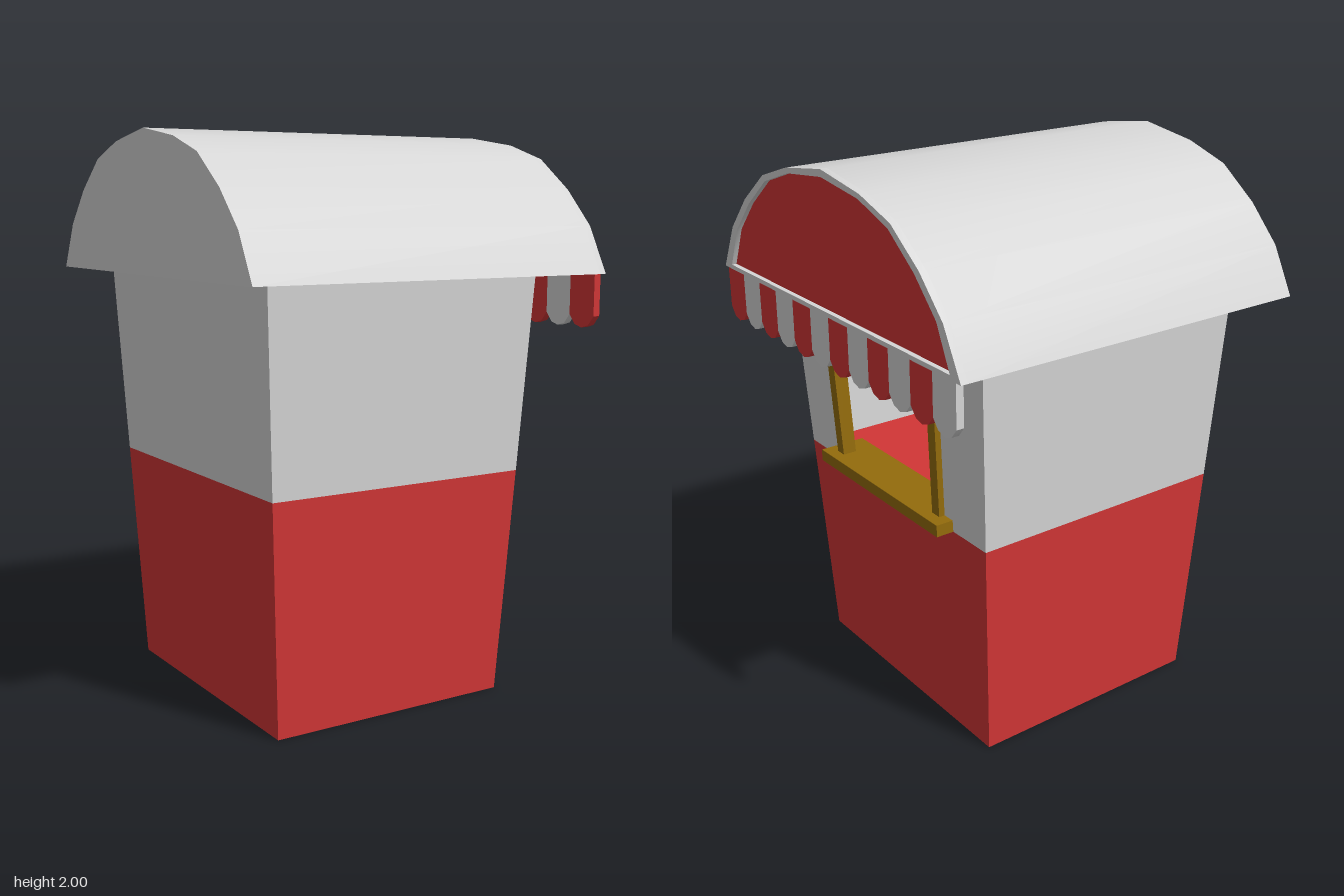
import * as THREE from 'three';
import { toCreasedNormals } from 'three/addons/utils/BufferGeometryUtils.js';

const material = (name, color) => Object.assign(new THREE.MeshStandardMaterial({ color }), { name });

// Solid between a lower and an upper rectangle, each [x0, x1, z0, z1]
function taperedBlock(y0, lower, y1, upper) {
  const geometry = new THREE.BoxGeometry(1, 1, 1);
  const p = geometry.attributes.position;
  for (let i = 0; i < p.count; i++) {
    const high = p.getY(i) > 0;
    const r = high ? upper : lower;
    p.setXYZ(i, p.getX(i) > 0 ? r[1] : r[0], high ? y1 : y0, p.getZ(i) > 0 ? r[3] : r[2]);
  }
  geometry.computeVertexNormals();
  return geometry;
}

// Block whose rectangle is a function of height, so it follows the leaning walls
const leaning = (y0, y1, rect) => taperedBlock(y0, rect(y0), y1, rect(y1));

// Shape drawn in (z, y), extruded along x
function extrudeX(shape, x0, x1) {
  const geometry = new THREE.ExtrudeGeometry(shape, { depth: x1 - x0, bevelEnabled: false });
  geometry.rotateY(Math.PI / 2).translate(x0, 0, 0);
  return toCreasedNormals(geometry, 0.65);
}

// Mirror half an arch (from the eave to the ridge) into a closed outline
function archPoints(half) {
  const other = half.slice(0, -1).reverse().map(([z, y]) => [-z, y]);
  return [...half, ...other].map(([z, y]) => new THREE.Vector2(z, y));
}

export function createModel() {
  const model = new THREE.Group();
  model.name = 'marketKiosk';
  const white = material('white', 0xd6d6d6);
  const red = material('red', 0xd23636);
  const wood = material('wood', 0x946c0c);

  const add = (name, geometry, mat, parent = model) => {
    const mesh = new THREE.Mesh(geometry, mat);
    mesh.name = name;
    parent.add(mesh);
    return mesh;
  };
  const group = (name) => {
    const g = new THREE.Group();
    g.name = name;
    model.add(g);
    return g;
  };

  // Outer faces of the body at a given height
  const back = (y) => -0.485 - 0.05 * y;
  const front = (y) => 0.425 + 0.053 * y;
  const side = (y) => 0.52 + 0.053 * y;
  const opening = (y) => 0.268 + 0.027 * y;
  const counterY = 0.815, eaveY = 1.512, lintelY = 1.38, t = 0.02;

  // Red base, closed on top
  add('base', leaning(0, counterY, (y) => [back(y), front(y), -side(y), side(y)]), red);

  // White walls around the serving space
  const walls = group('walls');
  add('rearWall', leaning(counterY, eaveY, (y) => [back(y), back(y) + t, -side(y), side(y)]), white, walls);
  for (const s of [-1, 1]) {
    const span = (a, b) => (s > 0 ? [a, b] : [-b, -a]);
    add('sideWall', leaning(counterY, eaveY, (y) =>
      [back(y) + t, front(y) - t, ...span(side(y) - t, side(y))]), white, walls);
    add('servingWallSide', leaning(counterY, eaveY, (y) =>
      [front(y) - t, front(y), ...span(opening(y) + 0.01, side(y))]), white, walls);
  }
  add('servingWallTop', leaning(lintelY + 0.01, eaveY, (y) =>
    [front(y) - t, front(y), -opening(y) - 0.01, opening(y) + 0.01]), white, walls);

  // Wooden window frame and sill
  const frame = group('windowFrame');
  add('sill', taperedBlock(counterY, [0.36, 0.535, -0.38, 0.38], 0.858, [0.36, 0.535, -0.38, 0.38]), wood, frame);
  for (const s of [-1, 1]) {
    add('framePost', leaning(0.858, 1.42, (y) => {
      const a = opening(y), b = a + 0.042;
      return [front(y) - 0.03, front(y) + 0.022, ...(s > 0 ? [a, b] : [-b, -a])];
    }), wood, frame);
  }
  add('frameTop', leaning(lintelY, 1.42, (y) =>
    [front(y) - 0.03, front(y) + 0.022, -opening(y), opening(y)]), wood, frame);

  // Arched roof with a raised rim around the red gable
  const outer = archPoints([[0.75, eaveY], [0.665, 1.675], [0.547, 1.8], [0.4, 1.91], [0.23, 1.965], [0, 2]]);
  const inner = archPoints([[0.695, 1.528], [0.63, 1.672], [0.52, 1.788], [0.385, 1.892], [0.22, 1.948], [0, 1.975]]);
  const roof = group('roof');
  add('roofShell', extrudeX(new THREE.Shape(outer), -0.693, 0.665), white, roof);
  const rim = new THREE.Shape(outer);
  rim.holes.push(new THREE.Path(inner));
  add('gableRim', extrudeX(rim, 0.665, 0.69), white, roof);
  add('gablePanel', extrudeX(new THREE.Shape(inner), 0.665, 0.672), red, roof);

  // Scalloped valance of alternating stripes
  const valance = group('valance');
  const count = 12, w = 0.1208;
  const tab = new THREE.Shape([
    [-w / 2, eaveY], [-w / 2, 1.365], [-0.034, 1.332], [0, 1.322],
    [0.034, 1.332], [w / 2, 1.365], [w / 2, eaveY],
  ].map(([z, y]) => new THREE.Vector2(z, y)));
  const tabGeometry = extrudeX(tab, 0.663, 0.69);
  for (let i = 0; i < count; i++) {
    add('valanceTab', tabGeometry, i % 2 ? white : red, valance).position.z = ((count - 1) / 2 - i) * w;
  }

  return model;
}
